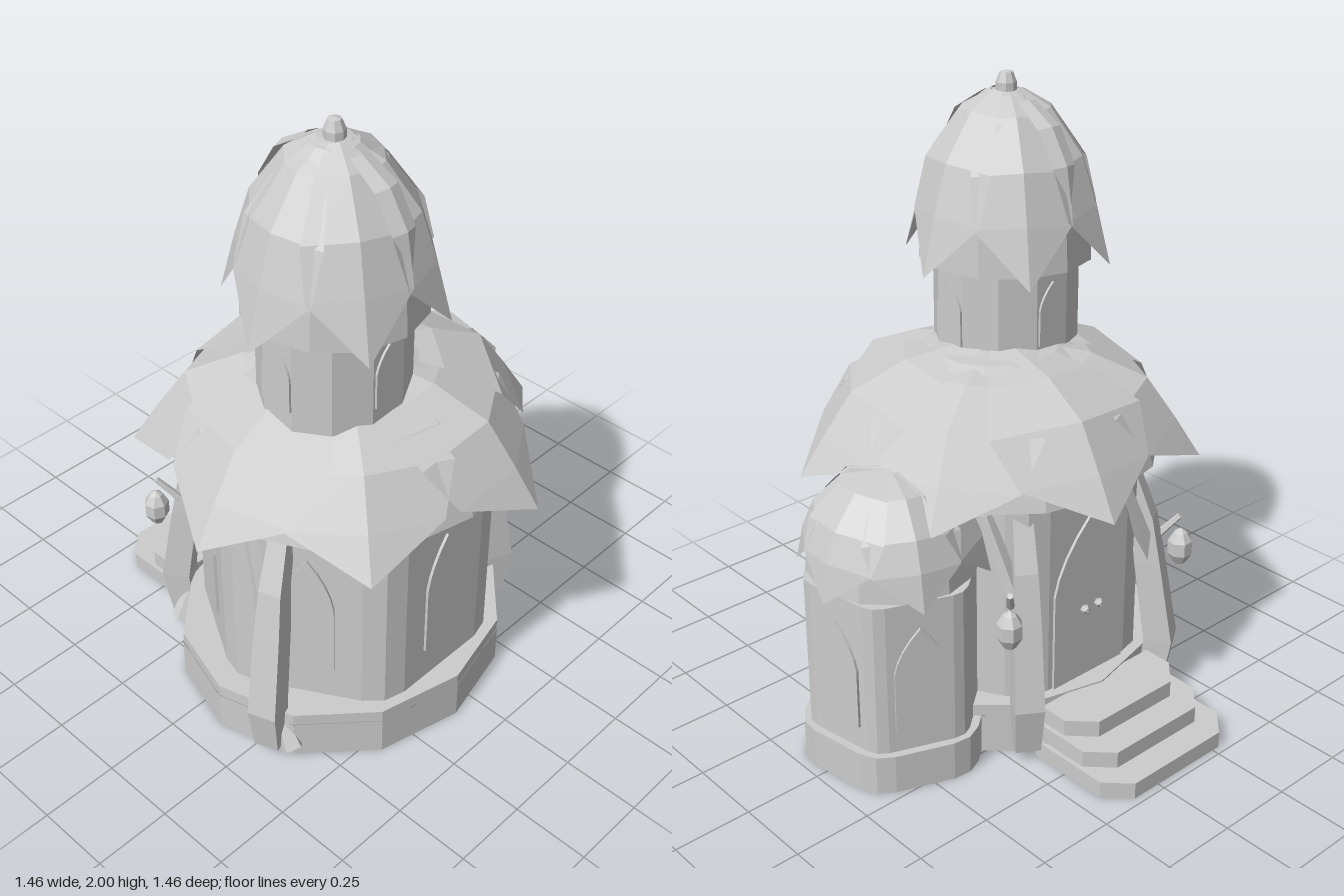
import * as THREE from 'three';

const stone = new THREE.MeshStandardMaterial({ color: 0xcccccc, flatShading: true, side: THREE.DoubleSide });
stone.name = 'pale grey';

function add(parent, name, geometry, x = 0, y = 0, z = 0) {
  const mesh = new THREE.Mesh(geometry, stone);
  mesh.name = name;
  mesh.position.set(x, y, z);
  parent.add(mesh);
  return mesh;
}

function section(parent, name, x, z) {
  const g = new THREE.Group();
  g.name = name;
  g.position.set(x, 0, z);
  parent.add(g);
  return g;
}

// Upright prism from a plan outline (x, -z), with an optional hole
function prism(points, y0, y1, hole) {
  const shape = new THREE.Shape(points);
  if (hole) shape.holes.push(new THREE.Path(hole));
  const g = new THREE.ExtrudeGeometry(shape, { depth: y1 - y0, bevelEnabled: false });
  return g.rotateX(-Math.PI / 2).translate(0, y0, 0);
}

// Twelve-sided drum, a little wider than deep
function drum(rx, rz, y0, y1, open) {
  return new THREE.CylinderGeometry(1, 1, y1 - y0, 12, 1, open).scale(rx, 1, rz).translate(0, (y0 + y1) / 2, 0);
}

// Hexagon plan with rounded corners: a = distance to faces, c = distance to corners
function roundedHexagon(a, c, turn = 0) {
  const R = 2 * a / Math.sqrt(3), t = (R - c) * 3.73, points = [];
  for (let k = 0; k < 6; k++) {
    const p = turn + k * Math.PI / 3, cos = Math.cos(p), sin = Math.sin(p);
    for (const [u, v] of [[R - t / 2, -t * 0.866], [c, 0], [R - t / 2, t * 0.866]]) {
      points.push(new THREE.Vector2(u * cos - v * sin, u * sin + v * cos));
    }
  }
  return points;
}

// Thin pointed-arch plate on a wall; the angle runs from +z towards +x
function archPlate(parent, name, w, y0, y1, dist, degrees) {
  const h = w / 2, spring = y0 + (y1 - y0) * 0.58, s = new THREE.Shape();
  s.moveTo(-h, y0);
  s.lineTo(h, y0);
  s.lineTo(h, spring);
  s.quadraticCurveTo(h * 0.85, spring + (y1 - spring) * 0.5, 0, y1);
  s.quadraticCurveTo(-h * 0.85, spring + (y1 - spring) * 0.5, -h, spring);
  const geo = new THREE.ExtrudeGeometry(s, { depth: 0.009, bevelEnabled: false, curveSegments: 4 });
  const t = THREE.MathUtils.degToRad(degrees);
  add(parent, name, geo, dist * Math.sin(t), 0, dist * Math.cos(t)).rotation.y = t;
}

// Leaf of three-point rows [radius, height, half width], closing at the last row
function leafGeometry(rows) {
  const pos = [], idx = [];
  for (const [r, y, w] of rows) {
    for (const s of [-1, 0, 1]) pos.push(s * w, y - Math.abs(s) * w * 0.1, r - Math.abs(s) * w * 0.3);
  }
  for (let i = 0; i < rows.length - 1; i++) {
    for (let j = 0; j < 2; j++) {
      const a = i * 3 + j, b = a + 3;
      idx.push(a, b, a + 1, b, b + 1, a + 1);
    }
  }
  const g = new THREE.BufferGeometry();
  g.setAttribute('position', new THREE.Float32BufferAttribute(pos, 3));
  g.setIndex(idx);
  g.computeVertexNormals();
  return g;
}

// Dome covered by a ring of leaves at the given angles
function leafRoof(parent, name, profile, sides, rows, angles) {
  const dome = new THREE.LatheGeometry(profile.map(p => new THREE.Vector2(...p)), sides);
  add(parent, name + 'Dome', dome);
  const geo = leafGeometry(rows);
  angles.forEach((d, k) => {
    const leaf = add(parent, name + 'Leaf', geo, 0, (k % 2) * 0.008, 0);
    leaf.rotation.y = THREE.MathUtils.degToRad(d);
  });
}

// Leaning trunk with a square section, from [radius, height, half width]
function ribGeometry(rows) {
  const pos = [], idx = [], n = rows.length;
  for (const [r, y, w] of rows) pos.push(-w, y, r - w, w, y, r - w, w, y, r + w, -w, y, r + w);
  for (let i = 0; i < n - 1; i++) {
    for (let j = 0; j < 4; j++) {
      const a = i * 4 + j, b = i * 4 + (j + 1) % 4;
      idx.push(a, a + 4, b, b, a + 4, b + 4);
    }
  }
  const e = (n - 1) * 4;
  idx.push(0, 1, 2, 0, 2, 3, e, e + 2, e + 1, e, e + 3, e + 2);
  const g = new THREE.BufferGeometry();
  g.setAttribute('position', new THREE.Float32BufferAttribute(pos, 3));
  g.setIndex(idx);
  g.computeVertexNormals();
  return g;
}

export function createModel() {
  const model = new THREE.Group();
  model.name = 'leafRoofedCottage';

  // Main round house on a hollow foundation
  const main = section(model, 'mainHouse', -0.087, 0.11);
  add(main, 'foundation', drum(0.555, 0.508, 0, 0.13, true));
  add(main, 'foundationRim', drum(0.553, 0.506, 0.13, 0.17, false));
  add(main, 'wall', prism(roundedHexagon(0.43, 0.475), 0.17, 0.82));
  for (const d of [-120, -60, 0, 60]) archPlate(main, 'window', 0.165, 0.29, 0.72, 0.43, d);
  archPlate(main, 'door', 0.3, 0.17, 0.74, 0.43, 180);
  for (const x of [-0.03, 0.03]) add(main, 'doorKnob', new THREE.IcosahedronGeometry(0.016), x, 0.42, -0.45);

  // Rafters showing between wall and roof
  for (let k = 0; k < 6; k++) {
    const a = k * Math.PI / 3;
    add(main, 'rafter', new THREE.BoxGeometry(0.04, 0.05, 0.04), 0.36 * Math.cos(a), 0.825, 0.36 * Math.sin(a));
  }
  leafRoof(main, 'mainRoof',
    [[0, 0.84], [0.525, 0.84], [0.48, 1.01], [0.38, 1.105], [0.2, 1.175], [0, 1.19]], 14,
    [[0.08, 1.19, 0.06], [0.3, 1.155, 0.18], [0.475, 1.08, 0.27], [0.57, 0.945, 0.23], [0.65, 0.82, 0]],
    [16, 70.5, 121, 170, 221, 274.5, 321]);

  // Leaning trunks around the wall, each with a root and a branch
  const rib = ribGeometry([[0.54, 0.04, 0.04], [0.56, 0.2, 0.046], [0.515, 0.48, 0.042], [0.49, 0.64, 0.036], [0.43, 0.81, 0.03]]);
  for (const d of [66, -70, 148, -148]) {
    const g = new THREE.Group();
    g.name = 'trunk';
    g.rotation.y = THREE.MathUtils.degToRad(d);
    main.add(g);
    add(g, 'trunkStem', rib);
    const root = add(g, 'root', new THREE.CylinderGeometry(0.02, 0.042, 0.13, 5), 0.04, 0.09, 0.525);
    root.rotation.set(-0.2, 0, 0.45);
    const branch = add(g, 'branch', new THREE.CylinderGeometry(0.02, 0.032, 0.36, 4), -0.055, 0.64, 0.48);
    branch.rotation.set(-0.25, 0, 0.3);
  }

  // Lanterns hanging beside the door
  const glass = [[0, -0.065], [0.02, -0.06], [0.04, -0.025], [0.04, 0.02], [0.022, 0.05], [0, 0.065]];
  for (const x of [0.29, -0.455]) {
    add(model, 'lantern', new THREE.LatheGeometry(glass.map(p => new THREE.Vector2(...p)), 7), x, 0.51, -0.37);
    const arm = add(model, 'lanternArm', new THREE.CylinderGeometry(0.01, 0.014, 0.11, 5), x - Math.sign(x) * 0.03, 0.58, -0.34);
    arm.rotation.set(-0.6, 0, Math.sign(x) * -0.5);
  }

  // Back steps with cut corners, hollow below
  const stepPlan = (w, back, front) => {
    const c = 0.075;
    return [[-w, front], [w, front], [w, back - c], [w - c, back], [c - w, back], [-w, back - c]]
      .map(p => new THREE.Vector2(...p));
  };
  add(model, 'stepSkirt', prism(stepPlan(0.265, 0.725, 0.37), 0, 0.045, stepPlan(0.259, 0.719, 0.376)), -0.087);
  for (const [w, back, y0, y1] of [[0.265, 0.725, 0.045, 0.055], [0.25, 0.635, 0.055, 0.11], [0.235, 0.54, 0.11, 0.165]]) {
    add(model, 'step', prism(stepPlan(w, back, 0.365), y0, y1), -0.087);
  }

  // Side annex, turned slightly to the back
  const annex = section(model, 'annex', 0.43, 0), turn = THREE.MathUtils.degToRad(39);
  add(annex, 'annexFoundation', prism(roundedHexagon(0.275, 0.3, turn), 0, 0.12, roundedHexagon(0.269, 0.294, turn)));
  add(annex, 'annexFloor', prism(roundedHexagon(0.275, 0.3, turn), 0.12, 0.13));
  add(annex, 'annexWall', prism(roundedHexagon(0.25, 0.278, turn), 0.13, 0.635));
  for (const d of [99, 159]) archPlate(annex, 'annexWindow', 0.165, 0.21, 0.55, 0.25, d);
  leafRoof(annex, 'annexRoof',
    [[0, 0.64], [0.265, 0.64], [0.255, 0.74], [0.21, 0.84], [0.13, 0.92], [0, 0.95]], 12,
    [[0.03, 0.945, 0.03], [0.15, 0.92, 0.1], [0.238, 0.83, 0.15], [0.275, 0.74, 0.135], [0.3, 0.62, 0]],
    [39, 99, 159, 219, 279, 339]);

  // Tower
  const tower = section(model, 'tower', -0.19, 0.177);
  const wall = new THREE.CylinderGeometry(0.217, 0.217, 0.4, 12).rotateY(Math.PI / 12).scale(1.1, 1, 1);
  add(tower, 'towerWall', wall, 0, 1.25, 0);
  for (const d of [0, 90, 180, 270]) archPlate(tower, 'towerWindow', 0.11, 1.19, 1.39, d % 180 ? 0.229 : 0.208, d);
  leafRoof(tower, 'towerRoof',
    [[0, 1.435], [0.275, 1.435], [0.265, 1.6], [0.225, 1.75], [0.15, 1.87], [0.07, 1.935], [0, 1.945]], 12,
    [[0.05, 1.94, 0.03], [0.14, 1.89, 0.085], [0.24, 1.75, 0.15], [0.287, 1.6, 0.15], [0.335, 1.415, 0]],
    [30, 90, 150, 210, 270, 330]);

  // Small upright leaves at the front and back of the tower roof
  const smallLeaf = leafGeometry([[0.1, 1.925, 0.035], [0.2, 1.865, 0.045], [0.265, 1.76, 0.045], [0.285, 1.65, 0]]);
  for (const a of [0, Math.PI]) add(tower, 'smallLeaf', smallLeaf).rotation.y = a;
  const tip = [[0, 1.93], [0.032, 1.935], [0.032, 1.965], [0.02, 1.995], [0, 2]];
  add(tower, 'finial', new THREE.LatheGeometry(tip.map(p => new THREE.Vector2(...p)), 8));

  return model;
}
